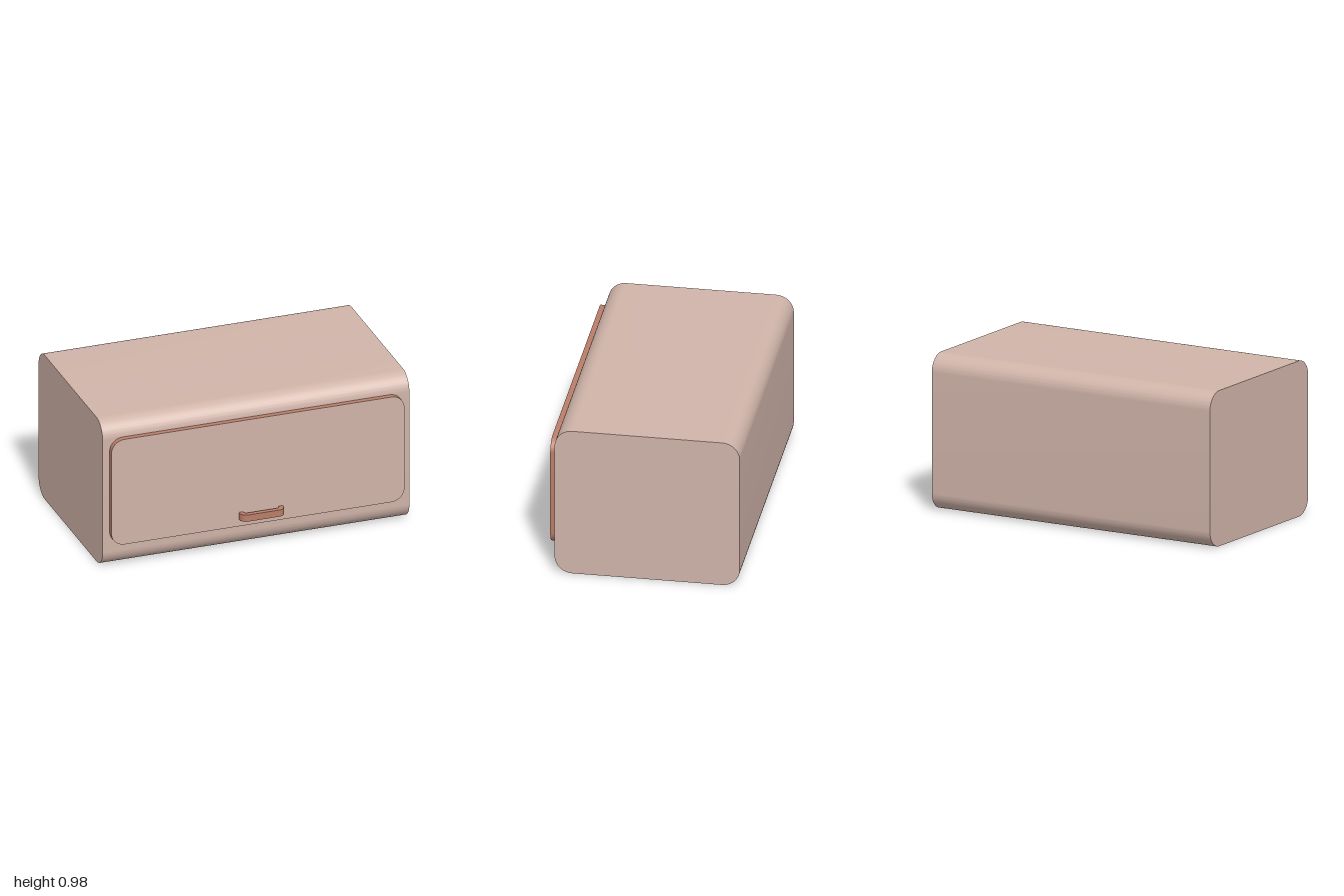
import * as THREE from 'three';
import { toCreasedNormals } from 'three/addons/utils/BufferGeometryUtils.js';

// Rounded rectangle centred on the origin
function roundedRect(w, h, r) {
  const s = new THREE.Shape();
  const x = w / 2 - r, y = h / 2 - r, q = Math.PI / 2;
  s.absarc(x, y, r, 0, q, false);
  s.absarc(-x, y, r, q, 2 * q, false);
  s.absarc(-x, -y, r, 2 * q, 3 * q, false);
  s.absarc(x, -y, r, 3 * q, 4 * q, false);
  s.closePath();
  return s;
}

// Straight extrusion with smooth rounded corners and sharp cap edges
function extrude(shape, depth) {
  const g = new THREE.ExtrudeGeometry(shape, { depth, bevelEnabled: false, curveSegments: 12 });
  return toCreasedNormals(g, 0.6);
}

export function createModel() {
  const shell = new THREE.MeshStandardMaterial({ color: 0xd0b4a9 });
  shell.name = 'pale clay';
  const trim = new THREE.MeshStandardMaterial({ color: 0xba7e69 });
  trim.name = 'terracotta';

  const model = new THREE.Group();
  model.name = 'storageBin';
  const add = (name, geometry, material) => {
    const mesh = new THREE.Mesh(geometry, material);
    mesh.name = name;
    model.add(mesh);
  };

  // Body: rounded side profile swept along x
  const body = extrude(roundedRect(1.15, 0.98, 0.11), 2);
  body.translate(0, 0, -1).rotateY(Math.PI / 2).translate(0, 0.49, -0.045);
  add('body', body, shell);

  // Door: pale face with a terracotta rim
  const door = extrude(roundedRect(1.91, 0.715, 0.085), 0.04);
  door.translate(0, 0.5175, 0.525);
  add('door', door, [shell, trim]);

  // Handle: U-shaped bracket drawn in plan, set slightly off centre
  const u = new THREE.Shape();
  u.moveTo(-0.143, -0.005);
  u.lineTo(-0.115, -0.005);
  u.lineTo(-0.115, 0.005);
  u.quadraticCurveTo(-0.113, 0.023, -0.095, 0.024);
  u.lineTo(0.095, 0.024);
  u.quadraticCurveTo(0.113, 0.023, 0.115, 0.005);
  u.lineTo(0.115, -0.005);
  u.lineTo(0.143, -0.005);
  u.lineTo(0.143, 0.013);
  u.absarc(0.101, 0.013, 0.042, 0, Math.PI / 2, false);
  u.absarc(-0.101, 0.013, 0.042, Math.PI / 2, Math.PI, false);
  u.closePath();
  const handle = extrude(u, 0.045);
  handle.rotateX(Math.PI / 2).translate(0.018, 0.255, 0.565);
  add('handle', handle, trim);

  return model;
}
